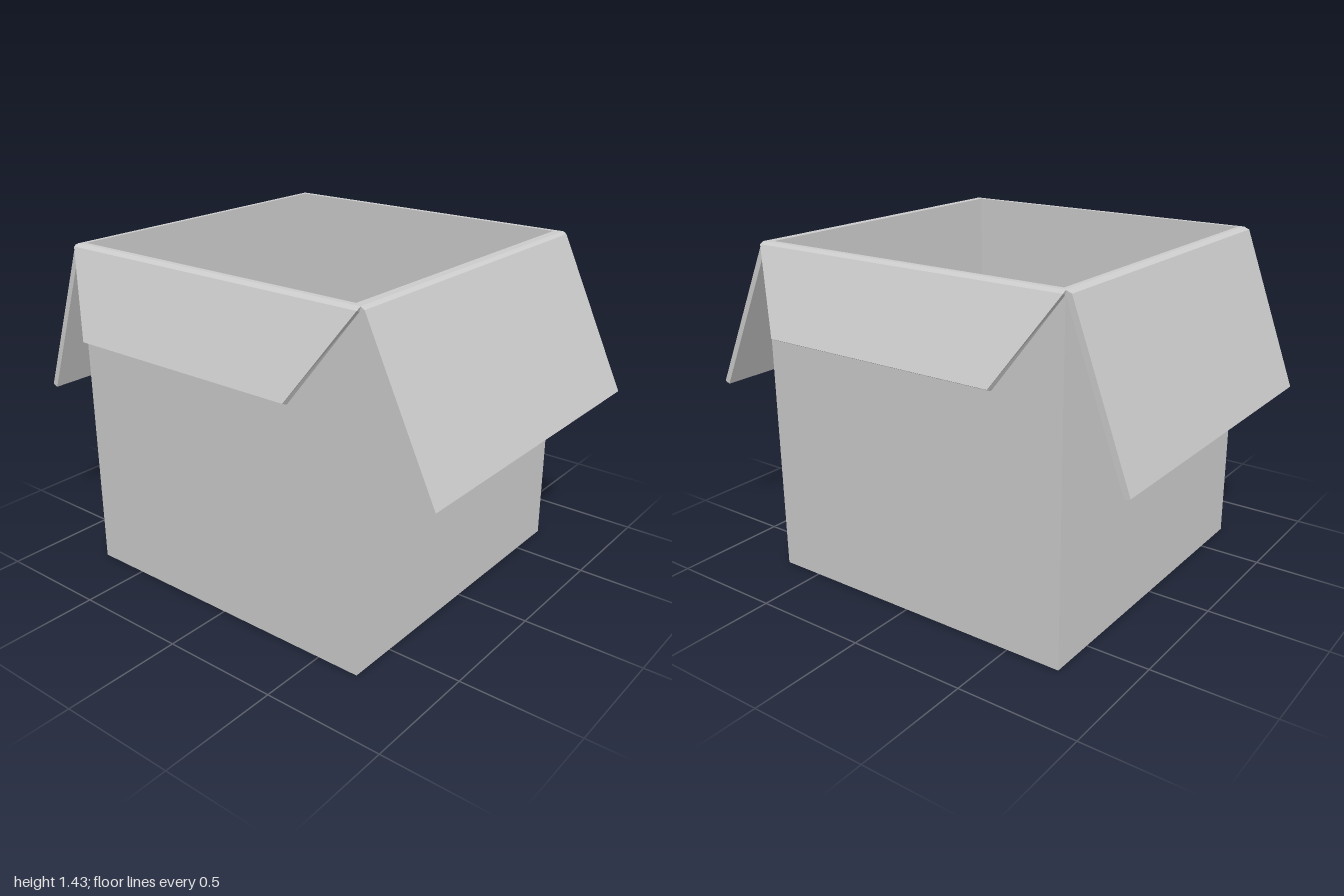
import * as THREE from 'three';

const material = new THREE.MeshStandardMaterial({ color: 0xcccccc, flatShading: true });
const HEIGHT = 1.43, FLOOR = 0.02, HINGE_Y = 1.42, THICK = 0.025;

// Outer and inner outlines of the carton
const OUT = { x0: -0.71, x1: 0.70, z0: -0.732, z1: 0.683 };
const INN = { x0: -0.688, x1: 0.677, z0: -0.712, z1: 0.649 };

function rectangle(Type, r) {
  return new Type([
    new THREE.Vector2(r.x0, -r.z0), new THREE.Vector2(r.x0, -r.z1),
    new THREE.Vector2(r.x1, -r.z1), new THREE.Vector2(r.x1, -r.z0),
  ]);
}

function slab(name, shape, depth) {
  const geometry = new THREE.ExtrudeGeometry(shape, { depth, bevelEnabled: false });
  geometry.rotateX(-Math.PI / 2);
  const mesh = new THREE.Mesh(geometry, material);
  mesh.name = name;
  return mesh;
}

// A folded-out flap: its section lies in (outward, y), and is swept along the
// hinge from top[0] to top[1], narrowing to bottom[0]..bottom[1] at the tip.
function flap(name, { wall, hinge, tip, top, bottom, turn }) {
  const h = new THREE.Vector2(hinge, HINGE_Y), t = new THREE.Vector2(...tip);
  const d = t.clone().sub(h).normalize();
  const inward = new THREE.Vector2(d.y, -d.x).multiplyScalar(THICK);
  const section = new THREE.Shape([
    new THREE.Vector2(wall, HEIGHT), h, t, t.clone().add(inward), h.clone().add(inward),
  ]);
  const geometry = new THREE.ExtrudeGeometry(section, { depth: 1, bevelEnabled: false });
  const p = geometry.attributes.position;
  for (let i = 0; i < p.count; i++) {
    const k = THREE.MathUtils.clamp((HINGE_Y - p.getY(i)) / (HINGE_Y - t.y), 0, 1);
    const lo = THREE.MathUtils.lerp(top[0], bottom[0], k);
    const hi = THREE.MathUtils.lerp(top[1], bottom[1], k);
    p.setZ(i, THREE.MathUtils.lerp(lo, hi, p.getZ(i)));
  }
  geometry.rotateY(turn);
  geometry.computeVertexNormals();
  const mesh = new THREE.Mesh(geometry, material);
  mesh.name = name;
  return mesh;
}

export function createModel() {
  const box = new THREE.Group();
  box.name = 'openBox';

  // Four walls as one hollow sleeve, with the floor fitted inside
  const sleeve = rectangle(THREE.Shape, OUT);
  sleeve.holes.push(rectangle(THREE.Path, INN));
  box.add(slab('walls', sleeve, HEIGHT));
  box.add(slab('floor', rectangle(THREE.Shape, INN), FLOOR));

  // Long rectangular flaps
  box.add(flap('frontFlap', {
    wall: 0.683, hinge: 0.70, tip: [1.0, 0.785],
    top: [-0.70, 0.71], bottom: [-0.70, 0.71], turn: -Math.PI / 2,
  }));
  box.add(flap('backFlap', {
    wall: 0.732, hinge: 0.757, tip: [1.0, 0.763],
    top: [-0.71, 0.70], bottom: [-0.71, 0.70], turn: Math.PI / 2,
  }));

  // Short tapered flaps
  box.add(flap('leftFlap', {
    wall: 0.70, hinge: 0.72, tip: [0.873, 1.10],
    top: [-0.735, 0.685], bottom: [-0.543, 0.487], turn: 0,
  }));
  box.add(flap('rightFlap', {
    wall: 0.71, hinge: 0.733, tip: [0.877, 1.095],
    top: [-0.685, 0.735], bottom: [-0.487, 0.543], turn: Math.PI,
  }));

  return box;
}
